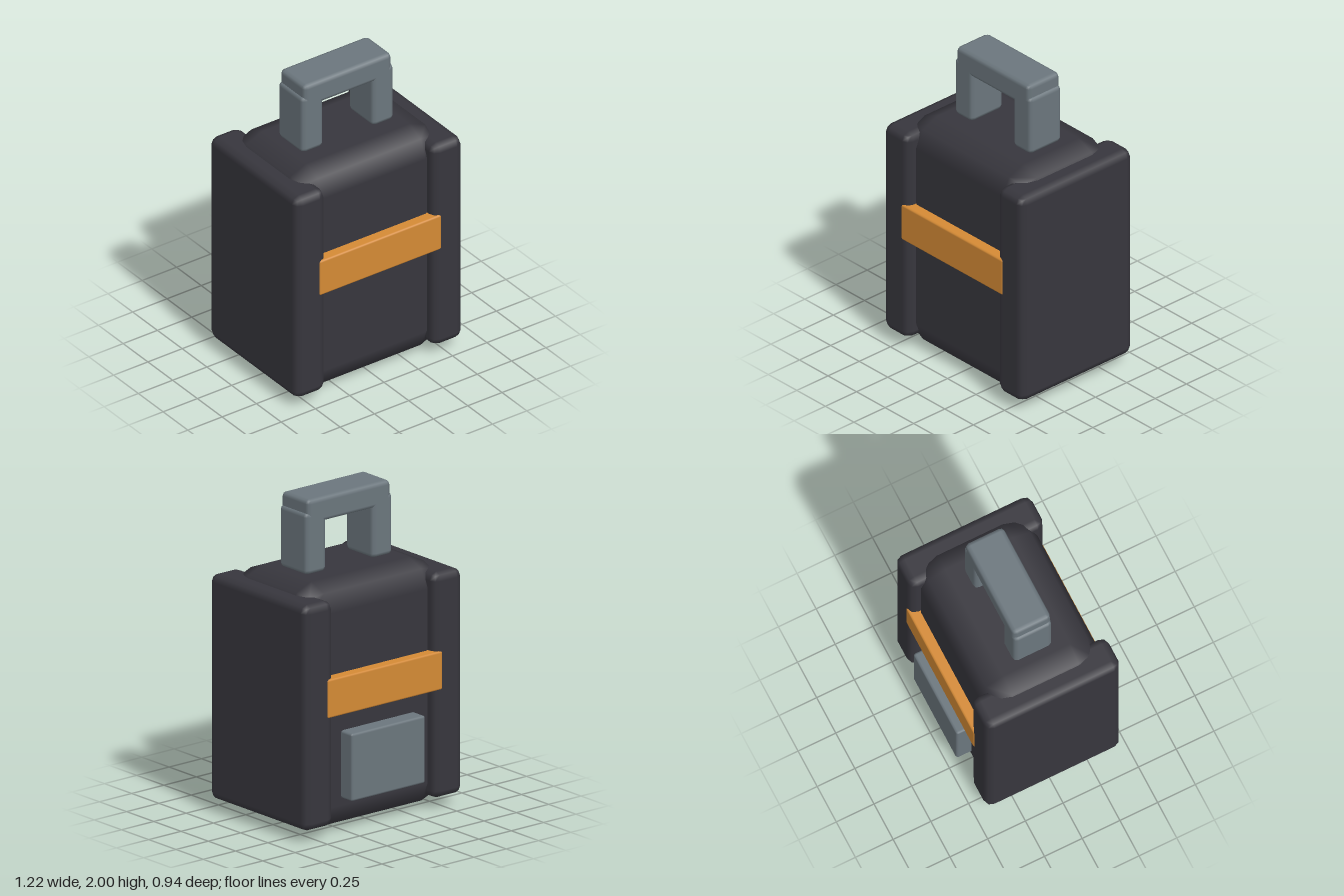
import * as THREE from 'three';
import { RoundedBoxGeometry } from 'three/addons/geometries/RoundedBoxGeometry.js';

const material = (name, color) => {
  const m = new THREE.MeshStandardMaterial({ color });
  m.name = name;
  return m;
};

// Bevelled box given by its [min, max] range on each axis
function block(name, mat, [x0, x1], [y0, y1], [z0, z1], radius, segments = 1) {
  const geometry = new RoundedBoxGeometry(x1 - x0, y1 - y0, z1 - z0, segments, radius);
  const mesh = new THREE.Mesh(geometry, mat);
  mesh.name = name;
  mesh.position.set((x0 + x1) / 2, (y0 + y1) / 2, (z0 + z1) / 2);
  return mesh;
}

export function createModel() {
  const charcoal = material('charcoal', 0x37363d);
  const orange = material('orange', 0xd48a35);
  const grey = material('grey', 0x6b767d);

  const model = new THREE.Group();
  model.name = 'case';

  // Main shell and the band round its middle
  model.add(block('body', charcoal, [-0.54, 0.54], [0, 1.535], [-0.37, 0.4], 0.165));
  model.add(block('band', orange, [-0.445, 0.445], [0.75, 0.99], [-0.437, 0.467], 0.012));

  // Plate low on the back
  model.add(block('backPlate', grey, [-0.285, 0.285], [0.21, 0.63], [-0.47, -0.35], 0.015));

  // Carrying handle: crossbar on two posts
  const handle = new THREE.Group();
  handle.name = 'handle';
  handle.add(block('handleBar', grey, [-0.32, 0.32], [1.845, 2], [-0.112, 0.142], 0.028));
  model.add(handle);

  // Mirrored side panels and handle posts
  for (const [side, s] of [['left', 1], ['right', -1]]) {
    const span = (a, b) => (s > 0 ? [a, b] : [-b, -a]);
    model.add(block(side + 'Panel', charcoal, span(0.39, 0.61), [0.07, 1.472], [-0.432, 0.462], 0.05));
    handle.add(block(side + 'Post', grey, span(0.178, 0.335), [1.535, 1.92], [-0.112, 0.142], 0.028));
  }
  return model;
}
